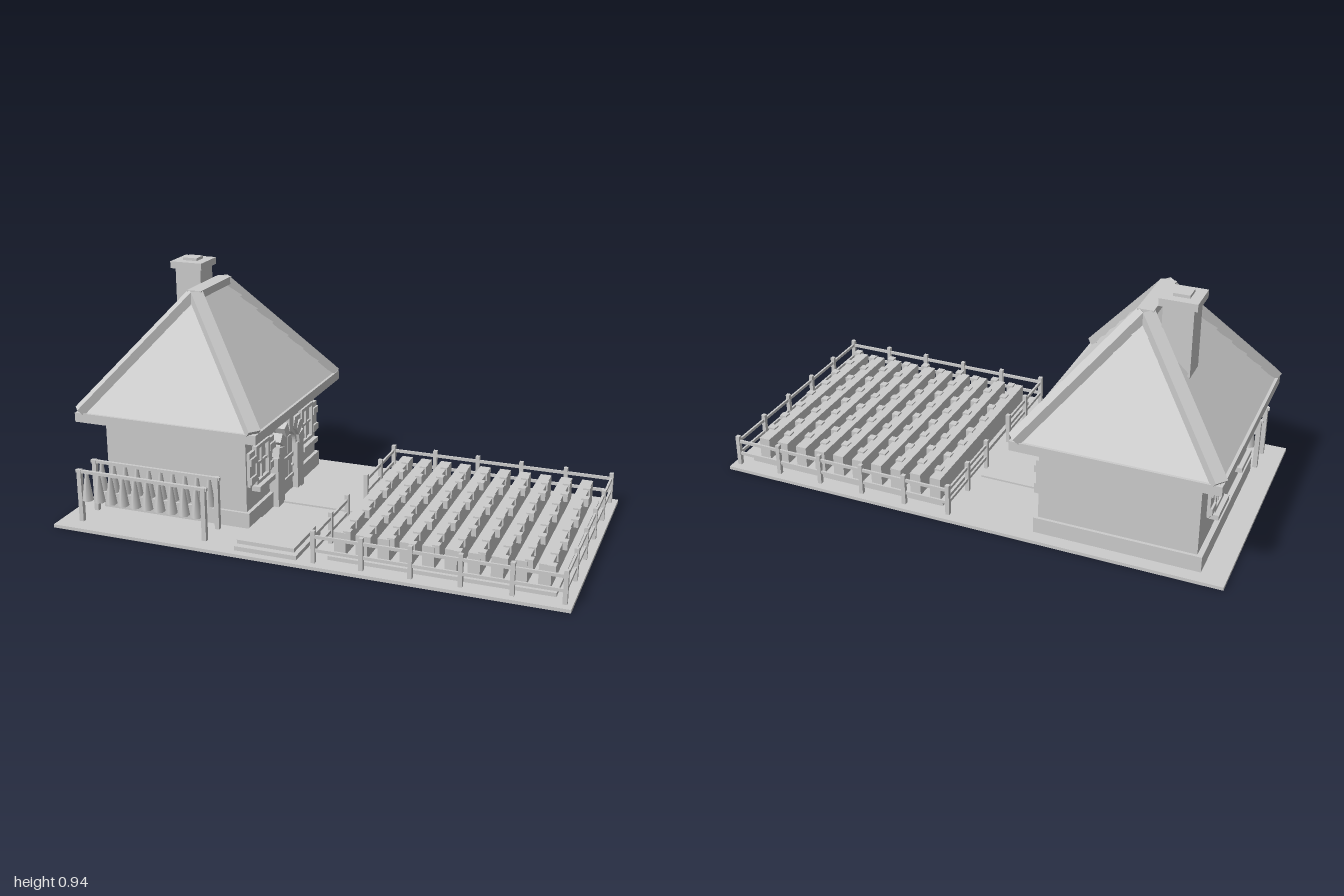
import * as THREE from 'three';

const stone = new THREE.MeshStandardMaterial({ color: 0xcccccc });
stone.name = 'light grey';

function add(parent, name, geometry) {
  const mesh = new THREE.Mesh(geometry, stone);
  mesh.name = name;
  parent.add(mesh);
  return mesh;
}

function group(parent, name) {
  const g = new THREE.Group();
  g.name = name;
  parent.add(g);
  return g;
}

// Box given by its minimum and maximum corners
function box(parent, name, x0, x1, y0, y1, z0, z1) {
  const mesh = add(parent, name, new THREE.BoxGeometry(x1 - x0, y1 - y0, z1 - z0));
  mesh.position.set((x0 + x1) / 2, (y0 + y1) / 2, (z0 + z1) / 2);
  return mesh;
}

// Skin between rectangular loops [x0, x1, z0, z1, y], listed from bottom to top
function rectangleSkin(loops) {
  const points = [];
  const corners = ([x0, x1, z0, z1, y]) => [[x0, y, z1], [x1, y, z1], [x1, y, z0], [x0, y, z0]];
  for (let i = 0; i < loops.length - 1; i++) {
    const a = corners(loops[i]), b = corners(loops[i + 1]);
    for (let k = 0; k < 4; k++) {
      const n = (k + 1) % 4;
      points.push(...a[k], ...a[n], ...b[n], ...a[k], ...b[n], ...b[k]);
    }
  }
  const geometry = new THREE.BufferGeometry();
  geometry.setAttribute('position', new THREE.Float32BufferAttribute(points, 3));
  geometry.computeVertexNormals();
  return geometry;
}

// Window with frame, cross bars, sill and shutters; faces local +z
function addWindow(parent, x, z, turn) {
  const w = group(parent, 'window');
  w.position.set(x, 0.243, z);
  w.rotation.y = turn;
  box(w, 'pane', -0.055, 0.055, -0.07, 0.07, -0.005, 0.004);
  for (const s of [-1, 1]) {
    const side = box(w, 'frameSide', -0.007, 0.007, -0.075, 0.078, 0, 0.018);
    side.position.x = s * 0.056;
    const rail = box(w, 'frameRail', -0.063, 0.063, -0.007, 0.007, 0, 0.018);
    rail.position.y = s * 0.071;
    const shutter = group(w, 'shutter');
    shutter.position.x = s * 0.09;
    box(shutter, 'shutterBoard', -0.025, 0.025, -0.07, 0.066, 0, 0.012);
    for (const y of [-0.045, 0.03]) {
      box(shutter, 'shutterBatten', -0.025, 0.025, y - 0.014, y + 0.014, 0.01, 0.02);
    }
  }
  box(w, 'verticalBar', -0.005, 0.005, -0.07, 0.07, 0, 0.012);
  box(w, 'crossBar', -0.055, 0.055, -0.005, 0.005, 0, 0.012);
  box(w, 'sill', -0.074, 0.074, -0.1, -0.08, 0, 0.035);
}

// Arched doorway with stone surround; faces local +z
function addDoor(parent) {
  const d = group(parent, 'doorway');
  d.position.set(-0.29, 0, -0.075);
  d.rotation.y = Math.PI / 2;
  const r = 0.068, spring = 0.215;
  const leaf = new THREE.Shape();
  leaf.moveTo(-r, 0.012);
  leaf.lineTo(r, 0.012);
  leaf.lineTo(r, spring);
  leaf.absarc(0, spring, r, 0, Math.PI, false);
  leaf.closePath();
  add(d, 'doorLeaf', new THREE.ExtrudeGeometry(leaf, { depth: 0.01, bevelEnabled: false, curveSegments: 10 }));
  for (const x of [-0.045, 0, 0.045]) box(d, 'doorPlank', x - 0.02, x + 0.02, 0.015, 0.255, 0.008, 0.015);
  for (const y of [0.08, 0.17]) box(d, 'doorBatten', -0.064, 0.064, y - 0.008, y + 0.008, 0.012, 0.022);
  const knob = add(d, 'doorKnob', new THREE.SphereGeometry(0.007, 8, 6));
  knob.position.set(0.045, 0.13, 0.024);

  const ring = new THREE.Shape();
  ring.absarc(0, spring, 0.1, 0, Math.PI, false);
  ring.absarc(0, spring, r, Math.PI, 0, true);
  add(d, 'archBand', new THREE.ExtrudeGeometry(ring, { depth: 0.03, bevelEnabled: false, curveSegments: 12 }));
  for (const s of [-1, 1]) {
    const jamb = box(d, 'jamb', -0.032, 0.032, 0.012, 0.217, 0, 0.038);
    jamb.position.x = s * 0.1;
  }
  for (let i = 0; i < 7; i++) {
    const a = THREE.MathUtils.degToRad(12 + i * 26);
    const length = i === 3 ? 0.073 : 0.05;
    const radius = 0.08 + length / 2;
    const block = add(d, 'archStone', new THREE.BoxGeometry(length, 0.038, 0.042));
    block.position.set(Math.cos(a) * radius, spring + Math.sin(a) * radius, 0.021);
    block.rotation.z = a;
  }
}

function addRoof(parent) {
  const roof = group(parent, 'roof');
  box(roof, 'eaves', -0.97, -0.21, 0.385, 0.422, -0.51, 0.357);
  // Lapped plank courses, each jutting over the one below
  const mix = THREE.MathUtils.lerp, rows = 7, loops = [];
  const loop = (t, out) => [mix(-0.945, -0.592, t) - out, mix(-0.235, -0.588, t) + out,
    mix(-0.485, -0.21, t) - out, mix(0.332, 0.055, t) + out, mix(0.42, 0.85, t)];
  for (let i = 0; i < rows; i++) {
    loops.push(loop(i / rows, 0.016), loop((i + 1) / rows, 0));
  }
  add(roof, 'roofPlanks', rectangleSkin(loops));
  // Hip boards
  for (const sx of [-1, 1]) {
    for (const sz of [-1, 1]) {
      const foot = new THREE.Vector3(-0.59 + sx * 0.366, 0.425, -0.0765 + sz * 0.42);
      const head = new THREE.Vector3(-0.59 + sx * 0.006, 0.855, -0.0765 + sz * 0.137);
      const along = head.clone().sub(foot);
      const length = along.length();
      along.normalize();
      const across = new THREE.Vector3().crossVectors(along, new THREE.Vector3(0, 1, 0)).normalize();
      const normal = new THREE.Vector3().crossVectors(across, along);
      const hip = add(roof, 'hipBoard', new THREE.BoxGeometry(0.05, 0.034, length));
      hip.quaternion.setFromRotationMatrix(new THREE.Matrix4().makeBasis(across, normal, along.clone().negate()));
      hip.position.copy(foot).add(head).multiplyScalar(0.5);
    }
  }
  box(roof, 'ridgeCap', -0.62, -0.56, 0.838, 0.868, -0.215, 0.062);
  box(roof, 'chimney', -0.765, -0.655, 0.6, 0.91, -0.233, -0.127);
  box(roof, 'chimneyCap', -0.78, -0.643, 0.905, 0.933, -0.247, -0.112);
  box(roof, 'chimneyPot', -0.742, -0.682, 0.93, 0.944, -0.21, -0.15);
}

// Rack with a row of tapered bundles hanging from it
function addRack(parent, z) {
  const rack = group(parent, 'dryingRack');
  rack.position.z = z;
  for (const x of [-0.915, -0.39]) box(rack, 'rackPost', x - 0.009, x + 0.009, 0.01, 0.225, -0.009, 0.009);
  box(rack, 'rackBar', -0.93, -0.375, 0.212, 0.224, -0.006, 0.006);
  for (let i = 0; i < 10; i++) {
    const bundle = add(rack, 'hangingBundle', new THREE.CylinderGeometry(0.006, 0.022, 0.115, 6));
    bundle.position.set(-0.885 + i * 0.0515, 0.16, 0);
  }
}

// Fence run through posts spaced evenly between two ground points
function addFence(parent, x0, z0, x1, z1, spans) {
  const fence = group(parent, 'fence');
  for (let i = 0; i <= spans; i++) {
    const x = x0 + (x1 - x0) * i / spans, z = z0 + (z1 - z0) * i / spans;
    box(fence, 'fencePost', x - 0.008, x + 0.008, 0.01, 0.138, z - 0.008, z + 0.008);
  }
  const px = z0 === z1 ? 0 : 0.004, pz = z0 === z1 ? 0.004 : 0;
  for (const y of [0.062, 0.115]) {
    box(fence, 'fenceRail', Math.min(x0, x1) - px, Math.max(x0, x1) + px, y - 0.006, y + 0.006,
      Math.min(z0, z1) - pz, Math.max(z0, z1) + pz);
  }
}

function addGarden(parent) {
  const garden = group(parent, 'garden');
  box(garden, 'bed', 0.1, 0.935, 0.01, 0.028, -0.415, 0.435);
  for (let i = 0; i < 10; i++) {
    const x = 0.138 + i * 0.0832;
    box(garden, 'cropRow', x - 0.022, x + 0.022, 0.02, 0.116, -0.4, 0.41);
    for (let k = 0; k < 8; k++) {
      const cx = x + (k % 2 ? 0.026 : 0.014);
      const cz = -0.33 + k * 0.103 + (i % 2 ? 0.02 : 0);
      box(garden, 'crop', cx - 0.014, cx + 0.014, 0.09, 0.122, cz - 0.015, cz + 0.015);
    }
  }
  addFence(garden, 0.06, 0.472, 0.972, 0.472, 5);
  addFence(garden, 0.06, -0.452, 0.972, -0.452, 5);
  addFence(garden, 0.972, -0.452, 0.972, 0.472, 5);
  addFence(garden, 0.06, -0.452, 0.06, -0.1, 2);
  addFence(garden, 0.06, 0.12, 0.06, 0.472, 2);
}

export function createModel() {
  const model = new THREE.Group();
  model.name = 'cottageWithGarden';
  box(model, 'ground', -1, 1, 0, 0.013, -0.49, 0.51);

  const house = group(model, 'house');
  box(house, 'walls', -0.885, -0.29, 0.01, 0.4, -0.425, 0.275);
  box(house, 'plinth', -0.905, -0.275, 0.01, 0.075, -0.437, 0.287);
  addRoof(house);
  addDoor(house);
  for (const z of [0.15, -0.305]) addWindow(house, -0.29, z, Math.PI / 2);
  for (const z of [0.12, -0.22]) addWindow(house, -0.885, z, -Math.PI / 2);

  // Paving between house and garden
  box(model, 'doorPath', -0.28, 0.05, 0.01, 0.02, -0.17, 0.006);
  box(model, 'lowerSlab', -0.25, -0.004, 0.01, 0.03, 0.235, 0.48);
  box(model, 'upperSlab', -0.25, -0.022, 0.02, 0.045, 0.235, 0.455);

  addRack(model, 0.437);
  addRack(model, 0.325);
  addGarden(model);
  return model;
}
